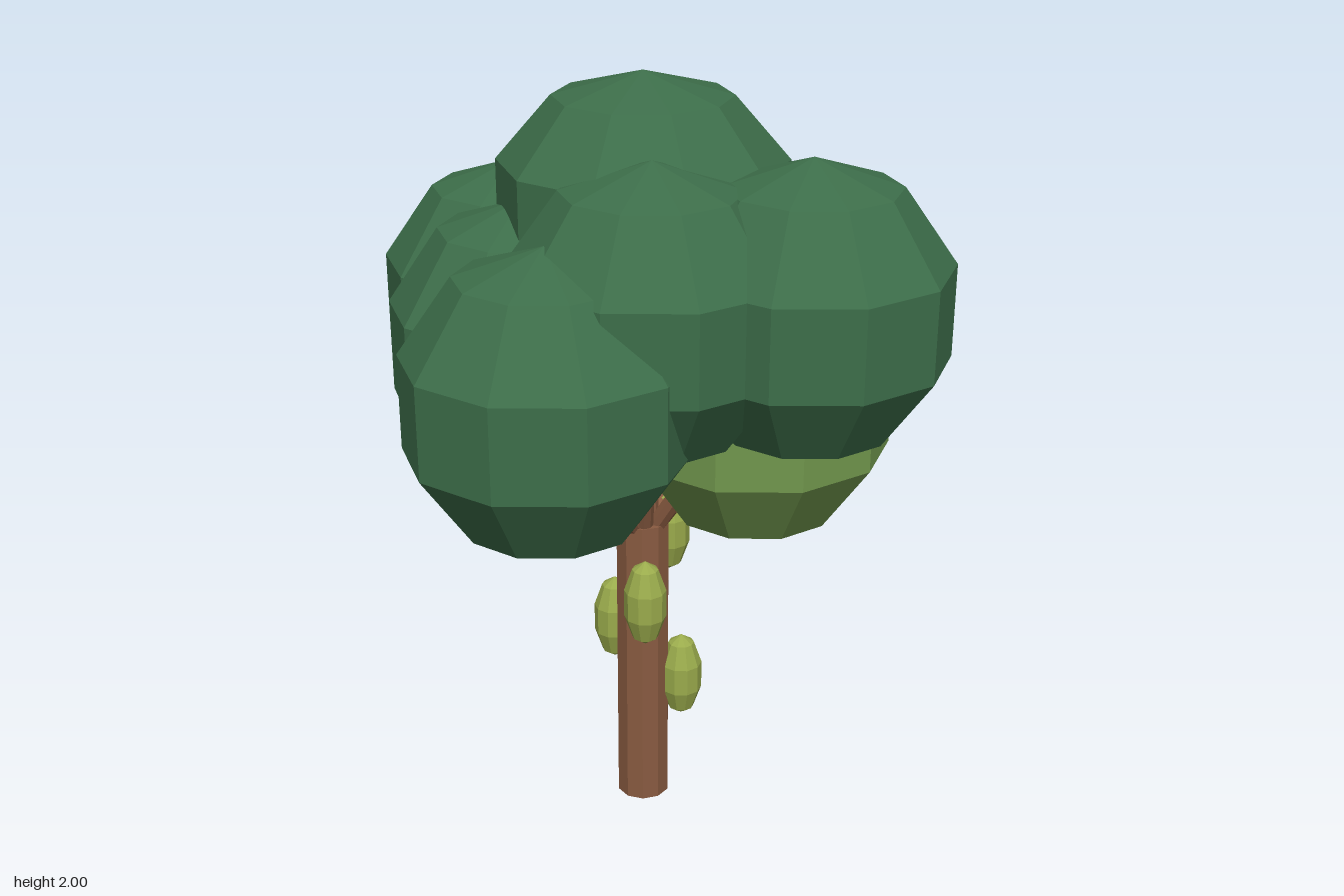
import * as THREE from 'three';

const material = (name, color) => {
  const m = new THREE.MeshStandardMaterial({ color, flatShading: true });
  m.name = name;
  return m;
};

export function createModel() {
  const tree = new THREE.Group();
  tree.name = 'tree';
  const bark = material('bark brown', 0x895b41);
  const darkLeaf = material('dark leaf green', 0x3d6e4a);
  const lightLeaf = material('light leaf green', 0x71974d);
  const podGreen = material('pod green', 0x9aab4c);

  const blobShape = new THREE.SphereGeometry(1, 10, 5);
  const addBlob = (name, mat, position, radii) => {
    const mesh = new THREE.Mesh(blobShape, mat);
    mesh.name = name;
    mesh.position.set(...position);
    mesh.scale.set(...radii);
    tree.add(mesh);
  };

  // Trunk
  const trunk = new THREE.Mesh(new THREE.CylinderGeometry(0.071, 0.071, 0.83, 10), bark);
  trunk.name = 'trunk';
  trunk.position.set(-0.028, 0.415, -0.02);
  tree.add(trunk);

  // Leaf clusters: position and radii
  const darkClusters = [
    [[-0.025, 1.69, -0.025], [0.373, 0.31, 0.354]],
    [[-0.368, 1.325, -0.342], [0.358, 0.375, 0.342]],
    [[-0.317, 1.325, 0.023], [0.348, 0.375, 0.345]],
    [[-0.237, 1.325, 0.387], [0.36, 0.375, 0.342]],
    [[0, 1.495, 0.26], [0.365, 0.365, 0.342]],
    [[0.366, 1.495, 0.224], [0.357, 0.365, 0.344]],
  ];
  const lightClusters = [
    [[0.257, 1.165, -0.395], [0.36, 0.37, 0.344]],
    [[0.258, 1.165, -0.025], [0.36, 0.37, 0.344]],
    [[-0.093, 1.165, -0.304], [0.355, 0.37, 0.344]],
  ];
  darkClusters.forEach(([p, r]) => addBlob('darkLeafCluster', darkLeaf, p, r));
  lightClusters.forEach(([p, r]) => addBlob('lightLeafCluster', lightLeaf, p, r));

  // Branches fanning from the trunk top into each cluster
  const up = new THREE.Vector3(0, 1, 0);
  for (const [p] of [...darkClusters, ...lightClusters]) {
    const end = new THREE.Vector3(...p);
    const start = new THREE.Vector3(-0.028, 0.81, -0.02);
    const outward = end.clone().sub(start).setY(0);
    start.addScaledVector(outward.normalize(), 0.035);
    const along = end.clone().sub(start);
    const branch = new THREE.Mesh(new THREE.CylinderGeometry(0.024, 0.024, along.length(), 8), bark);
    branch.name = 'branch';
    branch.position.copy(start).addScaledVector(along, 0.5);
    branch.quaternion.setFromUnitVectors(up, along.normalize());
    tree.add(branch);
  }

  // Pods growing on the trunk
  for (const p of [
    [0.075, 0.36, -0.02],
    [-0.02, 0.63, 0.075],
    [-0.105, 0.497, -0.09],
    [0.04, 0.765, -0.095],
    [-0.125, 0.89, -0.01],
  ]) addBlob('pod', podGreen, p, [0.058, 0.122, 0.058]);

  return tree;
}
